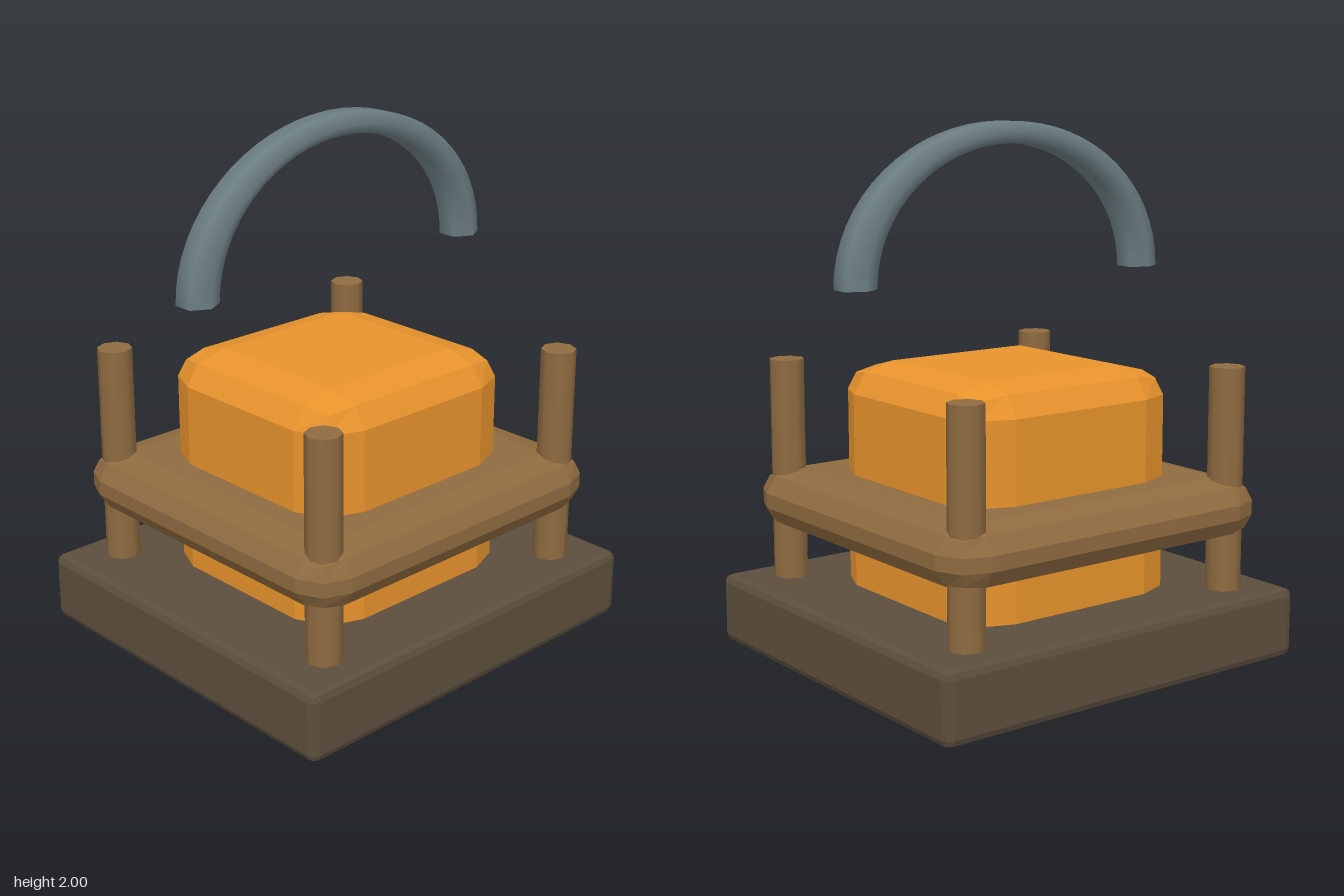
import * as THREE from 'three';
import { RoundedBoxGeometry } from 'three/addons/geometries/RoundedBoxGeometry.js';
import { mergeVertices } from 'three/addons/utils/BufferGeometryUtils.js';

const paint = (color, flatShading = false) => {
  const material = new THREE.MeshStandardMaterial({ flatShading });
  material.color.set(color);
  return material;
};

// Box with two-step bevels; size and bevel radius are given per axis
function bevelledBox(name, [w, h, d], [rx, ry, rz], bottom, material) {
  const geometry = new RoundedBoxGeometry(w / rx, h / ry, d / rz, 1, 1);
  geometry.scale(rx, ry, rz);
  const mesh = new THREE.Mesh(geometry, material);
  mesh.name = name;
  mesh.position.y = bottom + h / 2;
  return mesh;
}

// Half-elliptical six-sided handle, thicker at its ends than at its crown
function createHandle(material) {
  const handle = new THREE.Group();
  handle.name = 'handle';
  const sides = 6, tx = 0.067, ty = 0.04, tz = 0.075;
  const arc = new THREE.TorusGeometry(2, 1, sides, 32, Math.PI);
  const pos = arc.attributes.position;
  const flat = 1 / Math.cos(Math.PI / sides);
  for (let j = 0, i = 0; j <= sides; j++) {
    const phi = Math.PI / 2 + ((j % sides) / sides) * Math.PI * 2;
    const c = Math.cos(phi) * flat, s = Math.sin(phi);
    for (let k = 0; k <= 32; k++, i++) {
      const theta = (k / 32) * Math.PI;
      pos.setXYZ(i, (0.652 + tx * c) * Math.cos(theta), (0.53 + ty * c) * Math.sin(theta), tz * s);
    }
  }
  arc.deleteAttribute('uv');
  arc.deleteAttribute('normal');
  const tube = mergeVertices(arc);
  tube.computeVertexNormals();
  const bar = new THREE.Mesh(tube, material);
  bar.name = 'handleBar';
  handle.add(bar);

  // Closed ends
  for (const side of [-1, 1]) {
    const cap = new THREE.CircleGeometry(1, sides, Math.PI / 2);
    cap.scale(tx * flat, tz, 1);
    cap.rotateX(Math.PI / 2);
    const end = new THREE.Mesh(cap, material);
    end.name = side > 0 ? 'handleEndLeft' : 'handleEndRight';
    end.position.x = side * 0.652;
    handle.add(end);
  }
  handle.position.y = 1.43;
  return handle;
}

export function createModel() {
  const model = new THREE.Group();
  model.name = 'lantern';
  const wood = paint(0x8f6b40), woodFlat = paint(0x8f6b40, true);

  // Base, glowing core and the middle tray around it
  model.add(
    bevelledBox('base', [1.61, 0.265, 1.48], [0.035, 0.03, 0.03], 0.003, paint(0x5c4e3d, true)),
    bevelledBox('core', [0.96, 0.96, 0.92], [0.18, 0.11, 0.17], 0.15, paint(0xe8932c, true)),
    bevelledBox('tray', [1.42, 0.225, 1.36], [0.14, 0.085, 0.13], 0.467, woodFlat),
  );

  // Four corner posts
  const post = new THREE.CylinderGeometry(0.066, 0.066, 0.91, 8);
  for (const x of [-1, 1]) {
    for (const z of [-1, 1]) {
      const mesh = new THREE.Mesh(post, wood);
      mesh.name = (z > 0 ? 'front' : 'back') + (x > 0 ? 'Left' : 'Right') + 'Post';
      mesh.position.set(x * 0.597, 0.655, z * 0.57);
      model.add(mesh);
    }
  }

  model.add(createHandle(paint(0x6b7d82)));
  return model;
}
